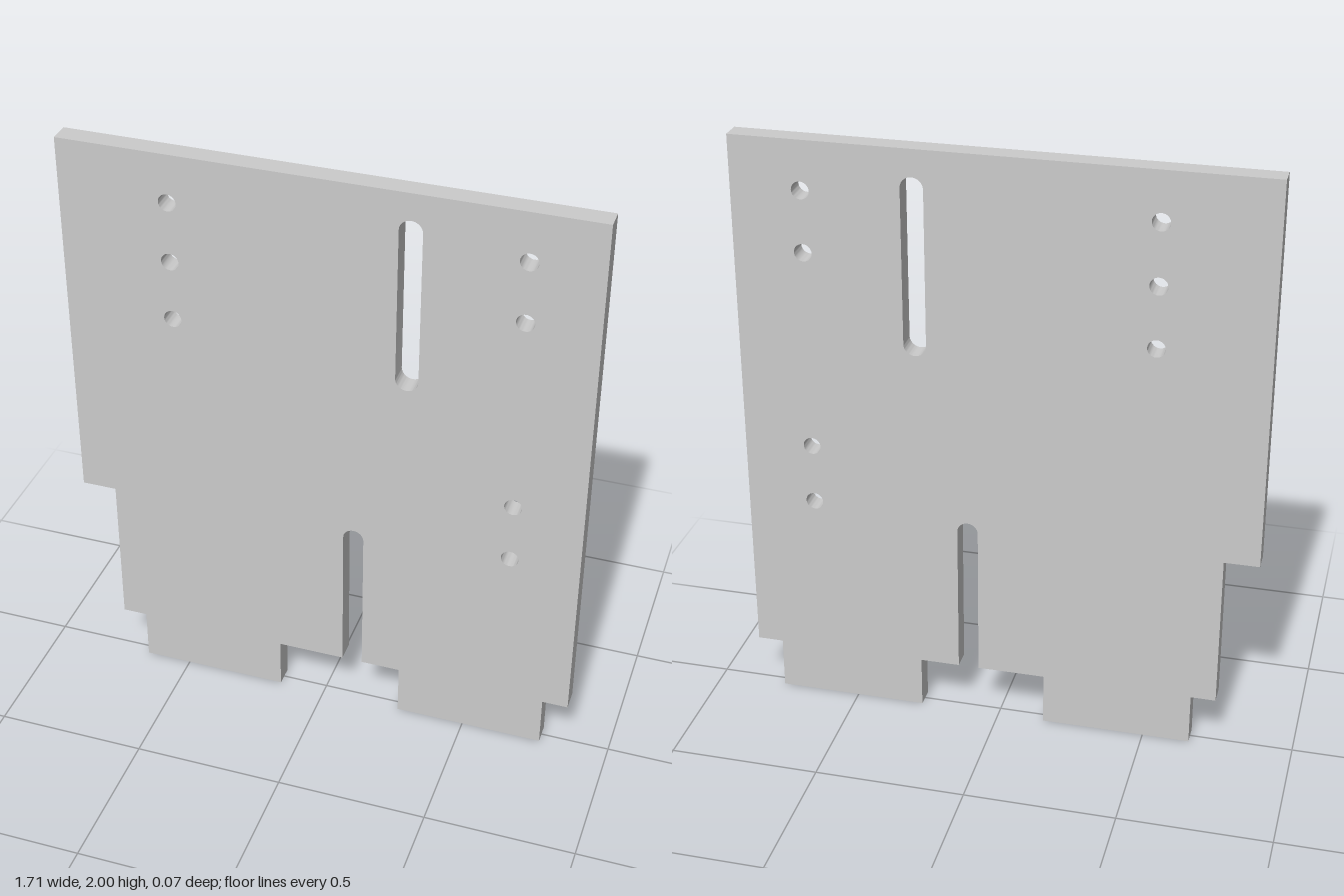
import * as THREE from 'three';
import { toCreasedNormals } from 'three/addons/utils/BufferGeometryUtils.js';

const THICKNESS = 0.07;

// Round hole
function roundHole(x, y, r) {
  return new THREE.Path().absarc(x, y, r, 0, Math.PI * 2, true);
}

// Vertical slot with round ends
function slotHole(x, bottom, top, r) {
  const path = new THREE.Path();
  path.absarc(x, top - r, r, 0, Math.PI, false);
  path.absarc(x, bottom + r, r, Math.PI, Math.PI * 2, false);
  path.closePath();
  return path;
}

export function createModel() {
  const group = new THREE.Group();
  group.name = 'mountingPlate';

  // Outline, counter-clockwise: two feet, an open slot between them, a notched side
  const outline = new THREE.Shape();
  outline.moveTo(-0.657, 0);
  outline.lineTo(-0.157, 0);
  outline.lineTo(-0.157, 0.178);
  outline.lineTo(0.069, 0.178);
  outline.lineTo(0.069, 0.7);
  outline.absarc(0.1035, 0.7, 0.0345, Math.PI, 0, true);
  outline.lineTo(0.138, 0.178);
  outline.lineTo(0.27, 0.178);
  outline.lineTo(0.27, 0);
  outline.lineTo(0.77, 0);
  outline.lineTo(0.77, 0.178);
  outline.lineTo(0.856, 0.178);
  outline.lineTo(0.856, 2);
  outline.lineTo(-0.856, 2);
  outline.lineTo(-0.856, 0.707);
  outline.lineTo(-0.74, 0.707);
  outline.lineTo(-0.74, 0.178);
  outline.lineTo(-0.657, 0.178);
  outline.closePath();

  // Screw holes in two columns, and the closed slot
  const columns = [
    [-0.497, [1.837, 1.632, 1.427]],
    [0.627, [1.837, 1.632, 0.955, 0.75]],
  ];
  for (const [x, heights] of columns) {
    for (const y of heights) outline.holes.push(roundHole(x, y, 0.029));
  }
  outline.holes.push(slotHole(0.27, 1.318, 1.91, 0.037));

  // Plate
  const geometry = new THREE.ExtrudeGeometry(outline, {
    depth: THICKNESS,
    bevelEnabled: false,
    curveSegments: 16,
  });
  geometry.translate(0, 0, -THICKNESS / 2);

  const plate = new THREE.Mesh(
    toCreasedNormals(geometry, Math.PI / 6),
    new THREE.MeshStandardMaterial({ color: 0xcccccc })
  );
  plate.name = 'plate';
  group.add(plate);
  return group;
}
